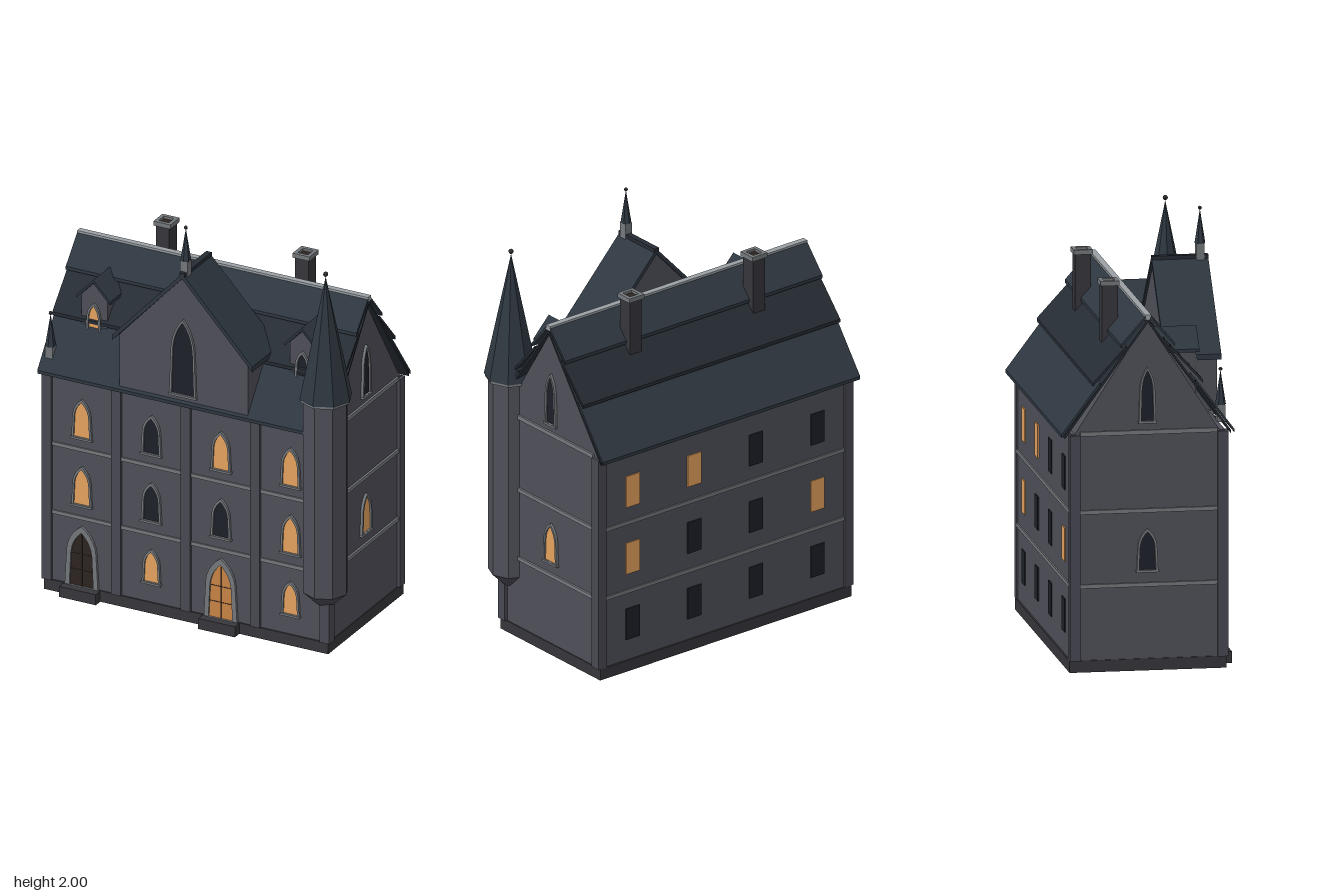
import * as THREE from 'three';

const mat = (color) => new THREE.MeshStandardMaterial({ color, flatShading: true, side: THREE.DoubleSide });
const M = {
  wall: mat(0x4f4f59), pier: mat(0x484852), base: mat(0x36363b), trim: mat(0x74787c),
  roof: mat(0x2e3740), roofDark: mat(0x262c34), ridge: mat(0x9aa0a4),
  lit: mat(0xe5a25e), litDoor: mat(0xc98446), dark: mat(0x1d2029), wood: mat(0x2d2420),
};
const CX = -0.04;                       // middle of the house along x
const RIDGE_Z = -0.025, RIDGE_Y = 1.66;
const BAYS = [-0.58, -0.22, 0.14, 0.5];

function add(parent, name, geo, material, x = 0, y = 0, z = 0) {
  const m = new THREE.Mesh(geo, material);
  m.name = name;
  m.position.set(x, y, z);
  parent.add(m);
  return m;
}

// Box given by its extents
function box(parent, name, material, x0, x1, y0, y1, z0, z1) {
  return add(parent, name, new THREE.BoxGeometry(x1 - x0, y1 - y0, z1 - z0), material,
    (x0 + x1) / 2, (y0 + y1) / 2, (z0 + z1) / 2);
}

// Outline extruded along z
function prism(points, depth) {
  const shape = new THREE.Shape(points.map(([x, y]) => new THREE.Vector2(x, y)));
  return new THREE.ExtrudeGeometry(shape, { depth, bevelEnabled: false });
}

// Thin sloping board from a down to b, thickness t measured downwards
const board = (a, b, t, depth) =>
  prism([a, b, [b[0], b[1] - t], [a[0], a[1] - t]], depth);

// Pointed arch outline, slightly tapered
function archPath(path, w, h, y0 = 0) {
  const s = y0 + (h - y0) * 0.6, a = w * 0.44;
  path.moveTo(-w / 2, y0);
  path.lineTo(w / 2, y0);
  path.lineTo(a, s);
  path.quadraticCurveTo(a * 0.9, s + (h - s) * 0.6, 0, h);
  path.quadraticCurveTo(-a * 0.9, s + (h - s) * 0.6, -a, s);
  path.closePath();
  return path;
}

// Pointed opening with a raised frame, facing +z
function archOpening(name, w, h, fill, border = 0.011, sill = true) {
  const g = new THREE.Group();
  g.name = name;
  const outer = archPath(new THREE.Shape(), w, h);
  outer.holes.push(archPath(new THREE.Path(), w - 2 * border, h - border * 1.4, sill ? border : 0.001));
  add(g, 'frame', new THREE.ExtrudeGeometry(outer, { depth: 0.014, bevelEnabled: false, curveSegments: 5 }), M.trim);
  const pane = archPath(new THREE.Shape(), w - border, h - border);
  add(g, 'pane', new THREE.ExtrudeGeometry(pane, { depth: 0.006, bevelEnabled: false, curveSegments: 5 }), fill);
  if (sill) box(g, 'sill', M.trim, -w / 2 - 0.003, w / 2 + 0.003, 0, 0.01, 0, 0.018);
  return g;
}

function place(parent, obj, x, y, z, ry = 0) {
  obj.position.set(x, y, z);
  obj.rotation.y = ry;
  parent.add(obj);
}

// Small pinnacle: block, spike and ball
function finial() {
  const g = new THREE.Group();
  g.name = 'finial';
  box(g, 'finialBlock', M.trim, -0.019, 0.019, -0.02, 0.06, -0.019, 0.019);
  add(g, 'finialSpike', new THREE.ConeGeometry(0.025, 0.16, 6), M.roof, 0, 0.14, 0);
  add(g, 'finialBall', new THREE.SphereGeometry(0.009, 8, 6), M.base, 0, 0.224, 0);
  return g;
}

function chimney() {
  const g = new THREE.Group();
  g.name = 'chimney';
  box(g, 'shaft', M.base, -0.034, 0.034, 1.38, 1.73, -0.037, 0.037);
  const sq = (c, r) => c.moveTo(-r, -r).lineTo(r, -r).lineTo(r, r).lineTo(-r, r).closePath();
  const cap = sq(new THREE.Shape(), 0.044);
  cap.holes.push(sq(new THREE.Path(), 0.026));
  const geo = new THREE.ExtrudeGeometry(cap, { depth: 0.022, bevelEnabled: false }).rotateX(-Math.PI / 2);
  add(g, 'chimneyCap', geo, M.trim, 0, 1.728, 0);
  box(g, 'flue', M.wood, -0.027, 0.027, 1.725, 1.738, -0.027, 0.027);
  return g;
}

function dormer(fill) {
  const g = new THREE.Group();
  g.name = 'dormer';
  add(g, 'dormerWall', prism([[-0.068, 1.25], [0.068, 1.25], [0.068, 1.47], [0, 1.54], [-0.068, 1.47]], 0.19), M.wall, 0, 0, 0.02);
  for (const s of [-1, 1])
    add(g, 'dormerRoof', board([0, 1.56], [s * 0.088, 1.467], 0.015, 0.205), M.roof, 0, 0, 0.02);
  place(g, archOpening('dormerWindow', 0.078, 0.17, fill), 0, 1.27, 0.209);
  return g;
}

export function createModel() {
  const house = new THREE.Group();
  house.name = 'house';

  // Base and entrance steps
  box(house, 'plinth', M.base, -0.775, 0.695, 0, 0.055, -0.385, 0.342);
  for (const x of [BAYS[0], BAYS[2]]) box(house, 'step', M.base, x - 0.095, x + 0.095, 0, 0.053, 0.3, 0.385);

  // Walls and end gables
  box(house, 'walls', M.wall, -0.77, 0.69, 0.05, 1.11, -0.377, 0.335);
  const gable = prism([[-0.335, 1.11], [0.335, 1.11], [0, 1.63]], 1.46).rotateY(Math.PI / 2);
  add(house, 'endGables', gable, M.wall, -0.77, 0, RIDGE_Z);

  // Front piers, and corner piers at the back
  for (let i = 0; i < 5; i++) {
    const x = CX + (i - 2) * 0.36, w = 0.024;
    box(house, 'frontPier', M.pier, x - w, x + w, 0.055, 1.1, 0.3, 0.35);
  }
  for (const x of [-0.76, 0.68])
    for (const z of [-0.36, 0.325])
      box(house, 'cornerPier', M.pier, x - 0.025, x + 0.025, 0.055, 1.105, z - 0.025, z + 0.025);

  // String courses
  for (const y of [0.4, 0.745])
    box(house, 'stringCourse', M.trim, -0.78, 0.7, y - 0.009, y + 0.009, -0.384, 0.342);
  box(house, 'gableCourse', M.trim, -0.78, 0.7, 1.1, 1.12, -0.335, 0.3);
  box(house, 'frontCourse', M.trim, -0.37, 0.29, 1.1, 1.115, 0.32, 0.374);

  // Front windows, ground floor up
  const frontLit = [[0, 1, 0, 1], [1, 0, 0, 1], [1, 0, 1, 1]];
  const rows = [[0.148, 0.177, 0.096], [0.458, 0.203, 0.104], [0.798, 0.203, 0.104]];
  rows.forEach(([y, h, w], r) => BAYS.forEach((x, c) => {
    if (r === 0 && c % 2 === 0) return;
    place(house, archOpening('frontWindow', w, h, frontLit[r][c] ? M.lit : M.dark), x, y, 0.334);
  }));

  // Doors
  [[BAYS[0], M.wood], [BAYS[2], M.litDoor]].forEach(([x, fill]) => {
    const d = archOpening('door', 0.172, 0.305, fill, 0.024, false);
    box(d, 'doorSeam', M.wood, -0.0015, 0.0015, 0, 0.26, 0, 0.008);
    for (const y of [0.08, 0.16]) box(d, 'doorRail', M.wood, -0.062, 0.062, y, y + 0.003, 0, 0.008);
    place(house, d, x, 0.055, 0.334);
  });

  // Back windows, plain
  const backLit = [[0, 0, 0, 0], [1, 0, 0, 1], [0, 0, 1, 1]];
  [0.235, 0.565, 0.9].forEach((y, r) => BAYS.forEach((x, c) =>
    box(house, 'backWindow', backLit[r][c] ? M.lit : M.dark, x - 0.04, x + 0.04, y - 0.078, y + 0.078, -0.382, -0.37)));

  // End wall windows
  for (const s of [-1, 1]) {
    const x = s > 0 ? 0.689 : -0.769, ry = s * Math.PI / 2;
    place(house, archOpening('sideWindow', 0.1, 0.203, s > 0 ? M.lit : M.dark), x, 0.458, RIDGE_Z, ry);
    place(house, archOpening('gableEndWindow', 0.08, 0.26, M.dark), x, 1.152, RIDGE_Z, ry);
  }

  // Main roof: an under-board and three overlapping courses on each slope
  const courses = [
    [[0.01, -0.005], [0.125, -0.135], M.roof], [[0.1, -0.14], [0.255, -0.31], M.roofDark],
    [[0.22, -0.305], [0.4, -0.545], M.roof], [[0, -0.02], [0.385, -0.55], M.roofDark],
  ];
  for (const s of [-1, 1])
    for (const [a, b, m] of courses) {
      const geo = board([s * a[0], RIDGE_Y + a[1]], [s * b[0], RIDGE_Y + b[1]], 0.016, 1.505).rotateY(Math.PI / 2);
      add(house, 'roofCourse', geo, m, -0.793, 0, RIDGE_Z);
    }
  box(house, 'ridgeCap', M.ridge, -0.793, 0.712, 1.635, 1.66, RIDGE_Z - 0.015, RIDGE_Z + 0.015);

  // Large front gable
  const front = new THREE.Group();
  front.name = 'frontGable';
  front.position.x = CX;
  house.add(front);
  add(front, 'frontGableWall', prism([[-0.332, 1.12], [0.332, 1.12], [0.332, 1.39], [0, 1.75], [-0.332, 1.39]], 0.236), M.wall, 0, 0, 0.13);
  for (const s of [-1, 1])
    add(front, 'frontGableRoof', board([0, 1.775], [s * 0.363, 1.385], 0.026, 0.262), M.roof, 0, 0, 0.12);
  box(front, 'frontGableRidge', M.roofDark, -0.014, 0.014, 1.755, 1.778, 0.12, 0.382);
  place(front, archOpening('frontGableWindow', 0.138, 0.39, M.dark), 0, 1.15, 0.365);
  place(front, finial(), 0, 1.77, 0.345);
  place(house, finial(), -0.755, 1.165, 0.317);

  // Dormers and chimneys
  place(house, dormer(M.lit), BAYS[0], 0, 0.01);
  place(house, dormer(M.dark), BAYS[3], 0, 0.01);
  for (const x of [-0.4, 0.32]) place(house, chimney(), x, 0, -0.14);

  // Eight-sided corner turret
  const turret = new THREE.Group();
  turret.name = 'turret';
  turret.position.set(0.663, 0, 0.306);
  house.add(turret);
  add(turret, 'turretFoot', new THREE.CylinderGeometry(0.107, 0.035, 0.07, 8), M.pier, 0, 0.268, 0);
  add(turret, 'turretShaft', new THREE.CylinderGeometry(0.107, 0.107, 0.98, 8), M.wall, 0, 0.793, 0);
  add(turret, 'turretRing', new THREE.CylinderGeometry(0.12, 0.12, 0.016, 8), M.trim, 0, 1.277, 0);
  add(turret, 'turretSpire', new THREE.ConeGeometry(0.125, 0.605, 8), M.roof, 0, 1.585, 0);
  add(turret, 'turretBall', new THREE.SphereGeometry(0.012, 8, 6), M.base, 0, 1.9, 0);

  return house;
}
